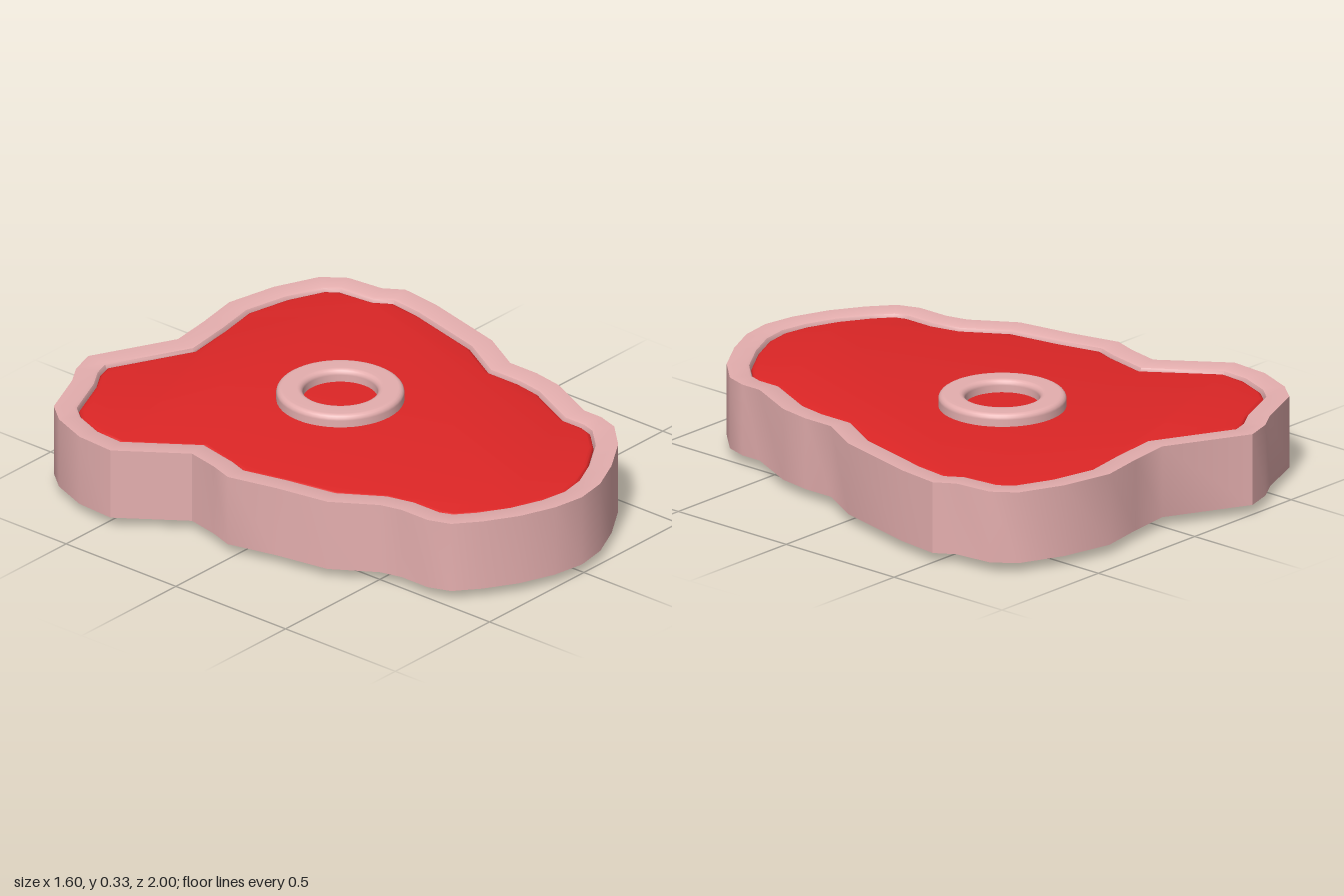
import * as THREE from 'three';
import { toCreasedNormals } from 'three/addons/utils/BufferGeometryUtils.js';

// Outline of the steak seen from above as [x, z], clockwise from the back
const OUTLINE = [
  [-0.30, -1.00], [0, -0.85], [0.16, -0.87], [0.33, -0.90], [0.52, -0.86],
  [0.68, -0.79], [0.74, -0.71], [0.755, -0.57], [0.80, -0.50], [0.78, -0.34],
  [0.70, -0.02], [0.61, 0.14], [0.61, 0.26], [0.59, 0.38], [0.50, 0.57],
  [0.50, 0.65], [0.475, 0.73], [0.38, 0.83], [0.24, 0.92], [0.11, 0.98],
  [-0.01, 1.00], [-0.13, 0.98], [-0.26, 0.93], [-0.375, 0.86], [-0.46, 0.79],
  [-0.49, 0.71], [-0.49, 0.59], [-0.51, 0.51], [-0.61, 0.355], [-0.645, 0.155],
  [-0.69, -0.03], [-0.66, -0.12], [-0.635, -0.24], [-0.80, -0.47], [-0.79, -0.62],
  [-0.735, -0.76], [-0.67, -0.84], [-0.48, -0.92], [-0.40, -0.97],
];

// Move the outline inward by distance d, with mitred corners
function inset(d) {
  const n = OUTLINE.length;
  return OUTLINE.map(([x, z], i) => {
    const p = new THREE.Vector2(x, z);
    const a = p.clone().sub(new THREE.Vector2(...OUTLINE[(i + n - 1) % n])).normalize();
    const b = new THREE.Vector2(...OUTLINE[(i + 1) % n]).sub(p).normalize();
    const m = new THREE.Vector2(-a.y - b.y, a.x + b.x);
    return p.addScaledVector(m, (2 * d) / m.lengthSq());
  });
}

// Sweep a closed cross-section of [inset, y] points around the outline
function sweepOutline(section) {
  const n = OUTLINE.length, k = section.length;
  const positions = [], index = [];
  for (const [d, y] of section) {
    for (const p of inset(d)) positions.push(p.x, y, p.y);
  }
  for (let j = 0; j < k; j++) {
    for (let i = 0; i < n; i++) {
      const j2 = (j + 1) % k, i2 = (i + 1) % n;
      const a = j * n + i, b = j2 * n + i, c = j2 * n + i2, e = j * n + i2;
      index.push(a, b, c, a, c, e);
    }
  }
  const geometry = new THREE.BufferGeometry();
  geometry.setAttribute('position', new THREE.Float32BufferAttribute(positions, 3));
  geometry.setIndex(index);
  return toCreasedNormals(geometry, 0.65);
}

export function createModel() {
  const group = new THREE.Group();
  const pale = new THREE.MeshStandardMaterial({ color: 0xe4aeae });
  const red = new THREE.MeshStandardMaterial({ color: 0xdd2626 });
  const add = (name, geometry, material) => {
    const mesh = new THREE.Mesh(geometry, material);
    mesh.name = name;
    group.add(mesh);
    return mesh;
  };

  // Band of fat, its inner lips softly rounded
  add('fatRim', sweepOutline([
    [0, 0.04], [0, 0.30], [0.068, 0.30], [0.077, 0.296], [0.082, 0.285],
    [0.082, 0.055], [0.077, 0.044], [0.068, 0.04],
  ]), pale);

  // Slab of meat, slightly sunk into the rim
  const outline = new THREE.Shape(inset(0.084).map((p) => new THREE.Vector2(p.x, -p.y)));
  const slab = new THREE.ExtrudeGeometry(outline, {
    depth: 0.21, bevelThickness: 0.015, bevelSize: 0.015, bevelOffset: -0.015, bevelSegments: 3,
  });
  slab.rotateX(-Math.PI / 2);
  slab.translate(0, 0.065, 0);
  add('meat', toCreasedNormals(slab, 0.65), red);

  // Bone ring passing right through, with rounded edges
  const bottom = 0.005, top = 0.335, inner = 0.13, outer = 0.222, r = 0.02;
  const profile = [];
  const corners = [
    [outer - r, bottom + r, -90], [outer - r, top - r, 0],
    [inner + r, top - r, 90], [inner + r, bottom + r, 180],
  ];
  for (const [x, y, start] of corners) {
    for (let s = 0; s <= 4; s++) {
      const t = THREE.MathUtils.degToRad(start + s * 22.5);
      profile.push(new THREE.Vector2(x + r * Math.cos(t), y + r * Math.sin(t)));
    }
  }
  profile.push(profile[0].clone());
  const bone = add('boneRing', new THREE.LatheGeometry(profile, 48), pale);
  bone.position.set(0.035, 0, -0.14);

  return group;
}
